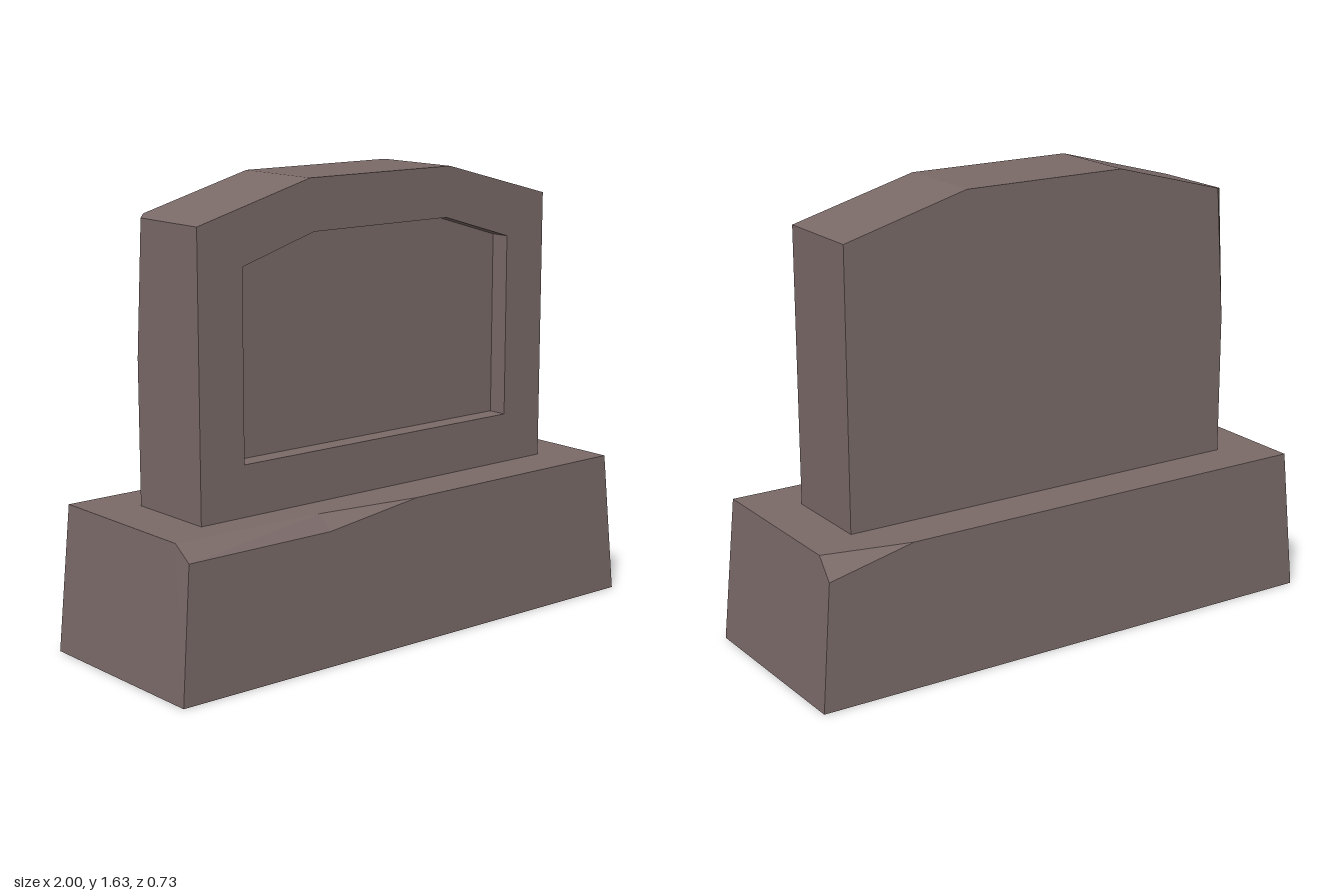
import * as THREE from 'three';

// Builds a flat-faced solid: each face is a corner loop, fanned from its first corner.
function facetedMesh(name, points, faces, material) {
  const positions = [];
  for (const loop of faces) {
    for (let i = 1; i < loop.length - 1; i++) {
      for (const index of [loop[0], loop[i], loop[i + 1]]) positions.push(...points[index]);
    }
  }
  const geometry = new THREE.BufferGeometry();
  geometry.setAttribute('position', new THREE.Float32BufferAttribute(positions, 3));
  geometry.computeVertexNormals();
  const mesh = new THREE.Mesh(geometry, material);
  mesh.name = name;
  return mesh;
}

// Tapered plinth with a long chip on the front edge and a chipped back corner.
function createPlinth(material) {
  const points = [
    // bottom corners
    [-1, 0, 0.365], [1, 0, 0.365], [1, 0, -0.365], [-1, 0, -0.365],
    // top outline, including the chip edges
    [-0.957, 0.52, 0.275], [-0.38, 0.52, 0.295], [0.01, 0.52, 0.35], [0.955, 0.52, 0.35],
    [0.955, 0.52, -0.28], [0.64, 0.52, -0.35], [-0.957, 0.52, -0.35],
    // lower chip corners
    [-0.96, 0.47, 0.352], [-0.38, 0.47, 0.352], [0.96, 0.45, -0.352],
  ];
  const faces = [
    [0, 3, 2, 1],              // bottom
    [10, 4, 5, 6, 7, 8, 9],    // top
    [0, 1, 7, 6, 12, 11],      // front
    [1, 2, 13, 8, 7],          // +x side
    [3, 10, 9, 13, 2],         // back
    [0, 11, 4, 10, 3],         // -x side
    [11, 12, 5, 4], [12, 6, 5], // front chip
    [8, 13, 9],                // back corner chip
  ];
  return facetedMesh('plinth', points, faces, material);
}

// Upright slab with a shouldered top, a recessed front panel and one chipped back corner.
function createSlab(material) {
  const front = 0.172, back = -0.175, recess = 0.1;
  const outer = [[-0.78, 0.52], [0.78, 0.52], [0.78, 1.505], [0.315, 1.63], [-0.315, 1.63], [-0.78, 1.505]];
  const inner = [[-0.6, 0.7], [0.6, 0.7], [0.6, 1.36], [0.3, 1.45], [-0.3, 1.45], [-0.6, 1.36]];
  const at = (loop, z) => loop.map(([x, y]) => [x, y, z]);
  const points = [
    ...at(outer, front), ...at(outer, back), ...at(inner, front), ...at(inner, recess),
    [-0.745, 1.514, back], [-0.78, 1.03, back],
  ];
  points[11][2] = -0.14; // chipped corner pulled forward

  const faces = [
    [18, 19, 20, 21, 22, 23],   // recessed panel
    [6, 25, 24, 10, 9, 8, 7],   // back
    [11, 24, 25],               // chip
    [5, 4, 10, 24, 11],         // -x shoulder
    [0, 5, 11, 25, 6],          // -x side
  ];
  for (let i = 0; i < 6; i++) {
    const j = (i + 1) % 6;
    faces.push([i, j, 12 + j, 12 + i]);           // front border
    faces.push([12 + i, 12 + j, 18 + j, 18 + i]); // recess walls
    if (i < 4) faces.push([j, i, 6 + i, 6 + j]);  // outer sides
  }
  return facetedMesh('slab', points, faces, material);
}

export function createModel() {
  const stone = new THREE.MeshStandardMaterial({ color: 0x7a6a68 });
  stone.name = 'stone';
  const model = new THREE.Group();
  model.name = 'gravestone';
  model.add(createPlinth(stone), createSlab(stone));
  return model;
}
